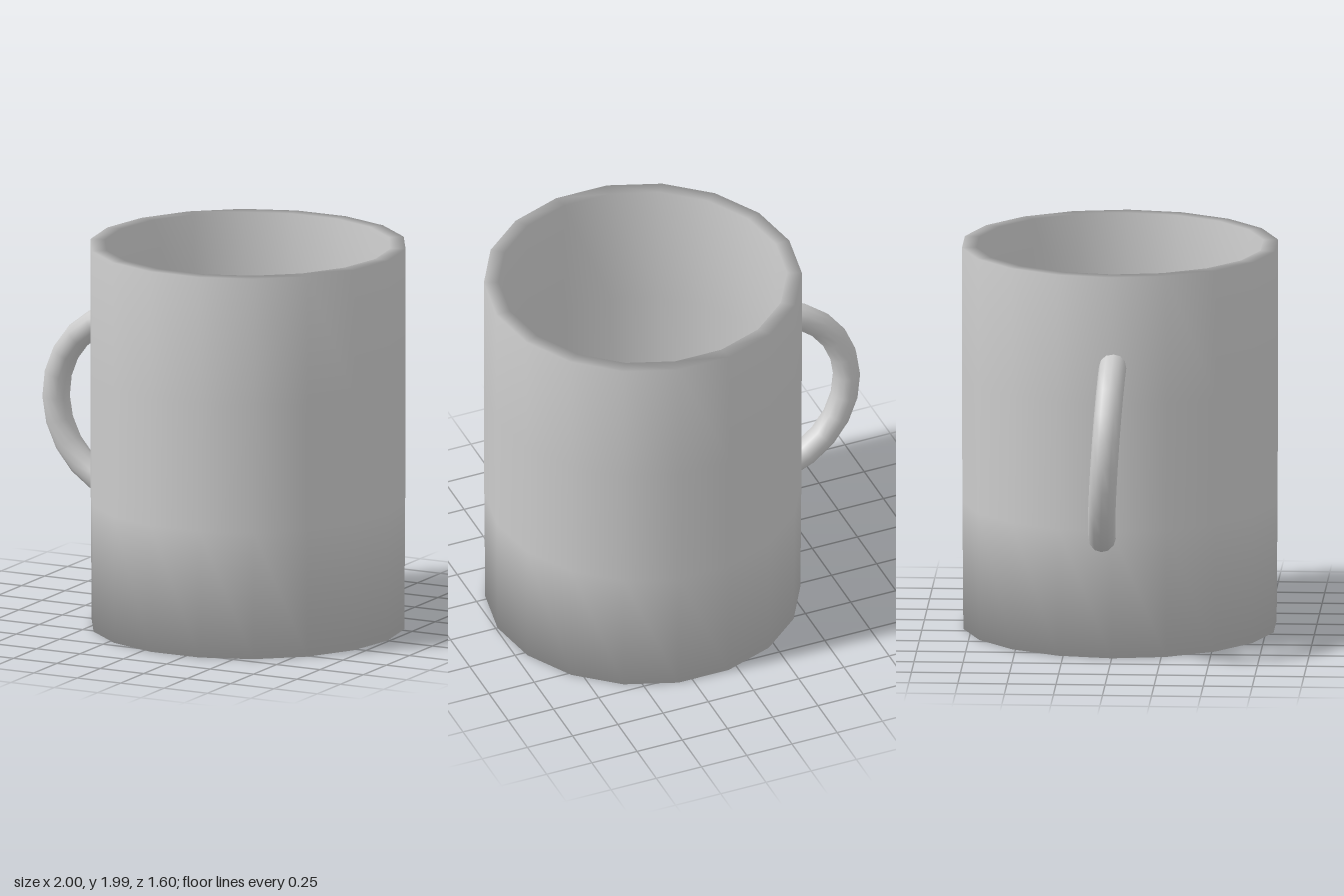
import * as THREE from 'three';

const CENTRE_X = 0.187; // cup axis, offset to leave room for the handle

export function createModel() {
  const model = new THREE.Group();
  model.name = 'mug';
  const material = new THREE.MeshStandardMaterial({ color: 0xcccccc });

  // Cup: one closed, smooth-shaded profile from underside, over the rim, to the inner floor
  const profile = [
    [0, 0], [0.803, 0], [0.808, 0.66], [0.81, 1.32], [0.81, 1.985],
    [0.735, 1.985], [0.735, 1.32], [0.733, 0.66], [0.73, 0.08], [0, 0.08],
  ].map(([r, y]) => new THREE.Vector2(r, y));
  const cup = new THREE.Mesh(new THREE.LatheGeometry(profile, 18, Math.PI / 2), material);
  cup.name = 'cup';
  cup.position.x = CENTRE_X;
  model.add(cup);

  // Handle: round tube on an arc, leaning slightly, with its ends buried in the wall
  const halfArc = THREE.MathUtils.degToRad(75);
  const arc = new THREE.TorusGeometry(0.474, 0.07, 12, 10, halfArc * 2);
  arc.rotateZ(Math.PI - halfArc);
  const handle = new THREE.Mesh(arc, material);
  handle.name = 'handle';
  handle.position.set(-0.456, 1.07, -0.022);
  handle.rotation.x = 0.06;
  model.add(handle);

  return model;
}
